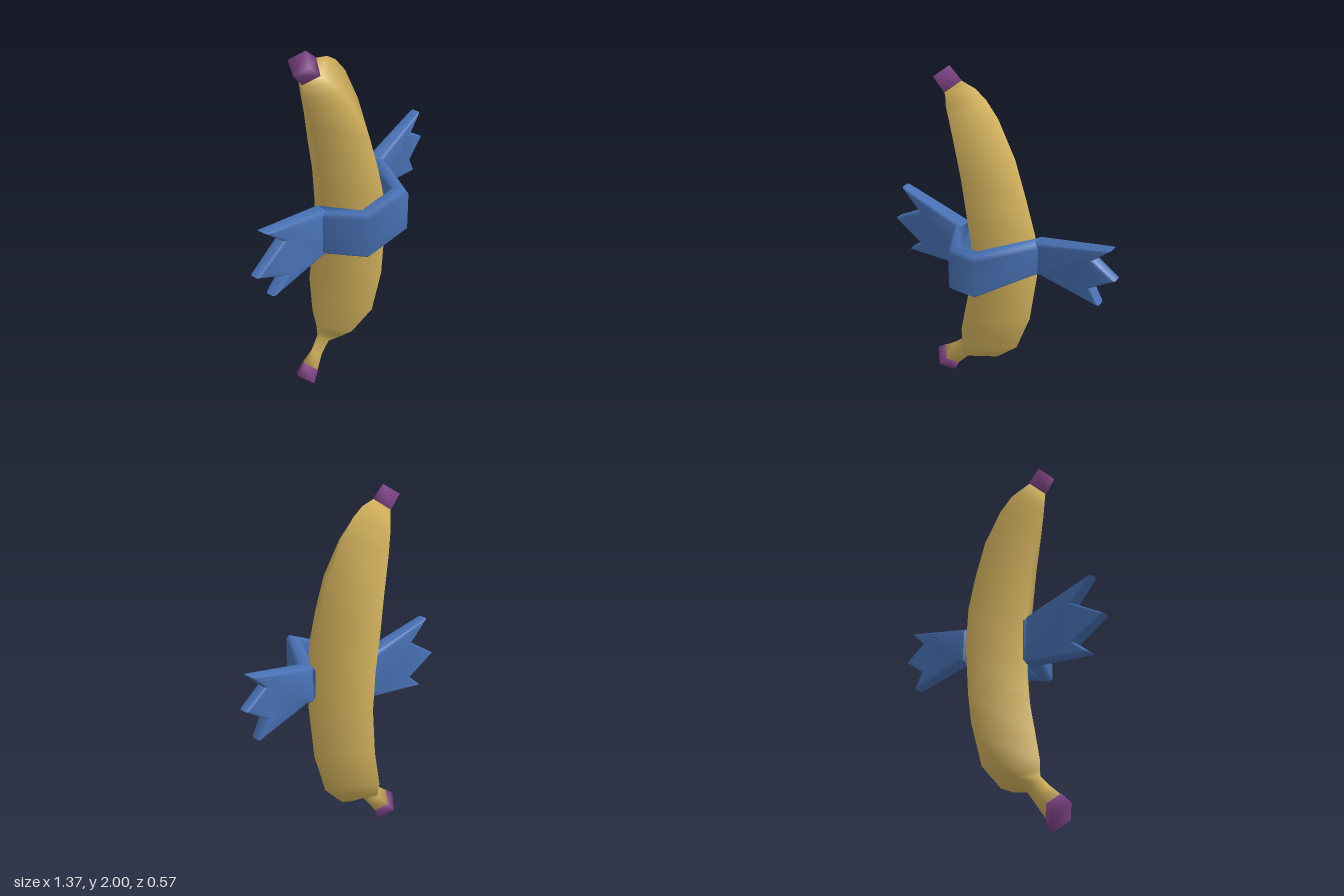
import * as THREE from 'three';
import { toCreasedNormals } from 'three/addons/utils/BufferGeometryUtils.js';

const material = (name, color) => {
  const m = new THREE.MeshStandardMaterial({ color });
  m.name = name;
  return m;
};

// Skin a closed solid over rings of [x, y, z] points, with smooth normals
function loft(rings) {
  const n = rings[0].length, index = [], last = (rings.length - 1) * n;
  for (let r = 0; r < rings.length - 1; r++) {
    for (let k = 0; k < n; k++) {
      const a = r * n + k, b = r * n + (k + 1) % n;
      index.push(a, b, a + n, b, b + n, a + n);
    }
  }
  for (let k = 1; k < n - 1; k++) {
    index.push(0, k + 1, k, last, last + k, last + k + 1);
  }
  const g = new THREE.BufferGeometry();
  g.setAttribute('position', new THREE.Float32BufferAttribute(rings.flat(2), 3));
  g.setIndex(index);
  g.computeVertexNormals();
  return g;
}

// Four-sided section: outer corner, front, inner corner, back
const MID_Z = -0.05;
const diamond = ([ix, iy, ox, oy, h]) => {
  const x = (ix + ox) / 2 - h * 0.06, y = (iy + oy) / 2;
  return [[ox, oy, MID_Z], [x, y, MID_Z + h], [ix, iy, MID_Z], [x, y, MID_Z - h]];
};

// Bevelled strap section between a front and a back point
const strapRing = ([fx, fz, bx, bz, top, bot]) => {
  const e = 0.22, d = 0.02;
  const at = (t, y) => [bx + (fx - bx) * t, y, bz + (fz - bz) * t];
  return [at(e, top), at(1 - e, top), at(1, top - d), at(1, bot + d),
    at(1 - e, bot), at(e, bot), at(0, bot + d), at(0, top - d)];
};

// Notched end of the scarf, thinning towards its tips
function scarfEnd(outline, rootX, tipX) {
  const bevel = 0.018, thick = 0.09;
  const shape = new THREE.Shape(outline.map(([x, y]) => new THREE.Vector2(x, y)));
  const g = new THREE.ExtrudeGeometry(shape, {
    depth: thick - 2 * bevel, bevelThickness: bevel, bevelSize: bevel,
    bevelOffset: -bevel, bevelSegments: 2,
  });
  g.translate(0, 0, bevel - thick / 2);
  const p = g.attributes.position;
  for (let i = 0; i < p.count; i++) {
    const t = THREE.MathUtils.clamp((p.getX(i) - rootX) / (tipX - rootX), 0, 1);
    p.setZ(i, p.getZ(i) * (1 - 0.35 * t) - 0.045 - 0.025 * t);
  }
  return toCreasedNormals(g, 0.9);
}

export function createModel() {
  const yellow = material('banana yellow', 0xd2b15c);
  const purple = material('tip purple', 0x82468a);
  const blue = material('scarf blue', 0x4871b4);

  const model = new THREE.Group();
  model.name = 'bananaWithScarf';
  const add = (name, geometry, mat) => {
    const mesh = new THREE.Mesh(geometry, mat);
    mesh.name = name;
    model.add(mesh);
  };

  // Curved fruit from top to stem: inner x, y, outer x, y, half depth
  const body = [
    [-0.31, 1.84, -0.21, 1.94, 0.065],
    [-0.31, 1.77, -0.13, 1.92, 0.10],
    [-0.30, 1.73, -0.07, 1.88, 0.13],
    [-0.27, 1.63, 0.00, 1.80, 0.165],
    [-0.22, 1.45, 0.10, 1.61, 0.205],
    [-0.20, 1.29, 0.17, 1.40, 0.225],
    [-0.18, 1.12, 0.23, 1.20, 0.235],
    [-0.17, 0.94, 0.245, 0.96, 0.235],
    [-0.18, 0.72, 0.21, 0.66, 0.235],
    [-0.22, 0.52, 0.13, 0.41, 0.22],
    [-0.25, 0.36, 0.00, 0.27, 0.14],
    [-0.25, 0.31, -0.08, 0.235, 0.085],
    [-0.25, 0.28, -0.17, 0.215, 0.04],
    [-0.31, 0.22, -0.225, 0.145, 0.035],
    [-0.37, 0.17, -0.28, 0.07, 0.053],
  ];
  add('bananaBody', loft(body.map(diamond)), yellow);

  // Purple tips
  add('topTip', loft([
    [-0.37, 1.91, -0.28, 2.00, 0.065],
    [-0.312, 1.842, -0.21, 1.942, 0.07],
  ].map(diamond)), purple);
  add('stemTip', loft([
    [-0.372, 0.172, -0.278, 0.07, 0.055],
    [-0.43, 0.12, -0.31, 0.0, 0.065],
  ].map(diamond)), purple);

  // Scarf strap across the front: front x, z, back x, z, top, bottom
  add('scarfStrap', loft([
    [-0.25, 0.0, -0.185, -0.09, 1.12, 0.865],
    [-0.13, 0.205, -0.10, 0.12, 1.13, 0.87],
    [0.08, 0.285, 0.055, 0.19, 1.21, 0.96],
    [0.275, 0.0, 0.235, -0.09, 1.20, 1.012],
  ].map(strapRing)), blue);

  // Notched ends reaching out to both sides
  add('scarfEndLeft', scarfEnd([
    [0.24, 1.01], [0.29, 1.015], [0.61, 0.945], [0.56, 1.04], [0.685, 1.13],
    [0.56, 1.21], [0.65, 1.30], [0.24, 1.20],
  ], 0.24, 0.68), blue);
  add('scarfEndRight', scarfEnd([
    [-0.20, 1.12], [-0.62, 1.20], [-0.50, 1.09], [-0.685, 0.97],
    [-0.50, 0.88], [-0.59, 0.80], [-0.19, 0.868],
  ], -0.2, -0.68), blue);

  return model;
}
